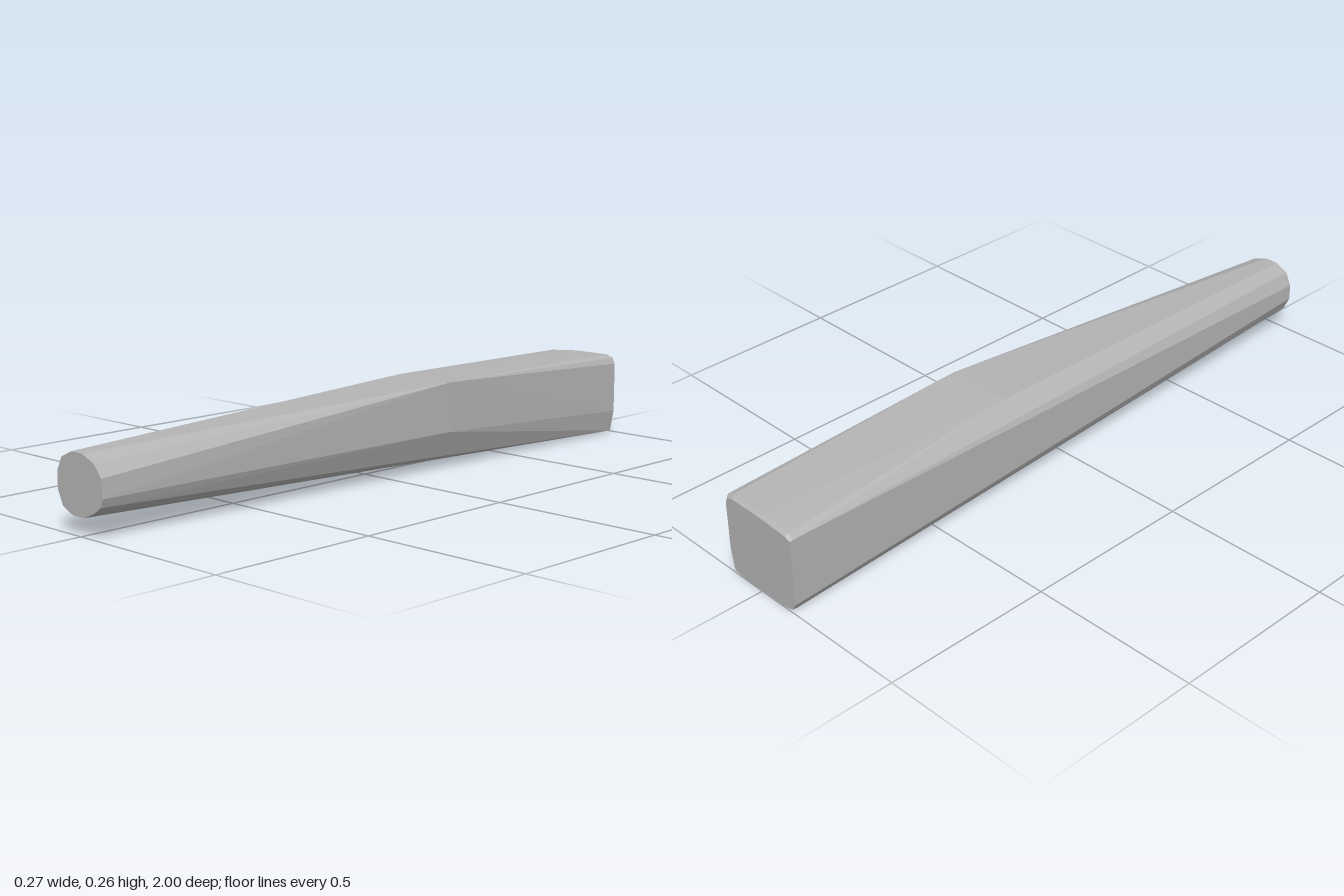
import * as THREE from 'three';
import { ConvexGeometry } from 'three/addons/geometries/ConvexGeometry.js';

// Turn a flat outline of [x, y] pairs into points at depth z
const section = (z, outline) => outline.map(([x, y]) => new THREE.Vector3(x, y, z));

export function createModel() {
  const group = new THREE.Group();
  group.name = 'taperedBar';
  const grey = new THREE.MeshStandardMaterial({ color: 0xb4b4b4 });
  grey.name = 'plain grey';

  // Narrow rounded tip
  const tip = section(1, [
    [-0.03, 0.212], [0.013, 0.212], [0.06, 0.193], [0.087, 0.161], [0.09, 0.11],
    [0.082, 0.087], [0.055, 0.068], [0.013, 0.05], [-0.03, 0.05], [-0.07, 0.068],
    [-0.089, 0.108], [-0.089, 0.155], [-0.07, 0.193],
  ]);

  // Widest part, where the top and one side bend
  const bend = section(-0.21, [[-0.065, 0.256], [0.136, 0.256], [0.135, 0.112]]);

  // Blocky butt with a slim bevel around its end face
  const butt = section(-0.99, [
    [-0.137, 0.227], [-0.118, 0.238], [-0.02, 0.246], [0.1, 0.246], [0.122, 0.238],
    [0.131, 0.22], [0.131, 0.07], [0.119, 0.005], [0.06, 0.001], [-0.1, 0.003],
    [-0.125, 0.01], [-0.137, 0.031],
  ]);
  const endFace = section(-1, [
    [-0.137, 0.225], [-0.12, 0.232], [-0.02, 0.238], [0.095, 0.238], [0.115, 0.23],
    [0.123, 0.215], [0.123, 0.07], [0.112, 0.008], [0.06, 0.002], [-0.1, 0.004],
    [-0.125, 0.011], [-0.137, 0.032],
  ]);

  // Facets stretched over all the cross-sections
  const bar = new THREE.Mesh(new ConvexGeometry([...tip, ...bend, ...butt, ...endFace]), grey);
  bar.name = 'bar';
  group.add(bar);
  return group;
}
